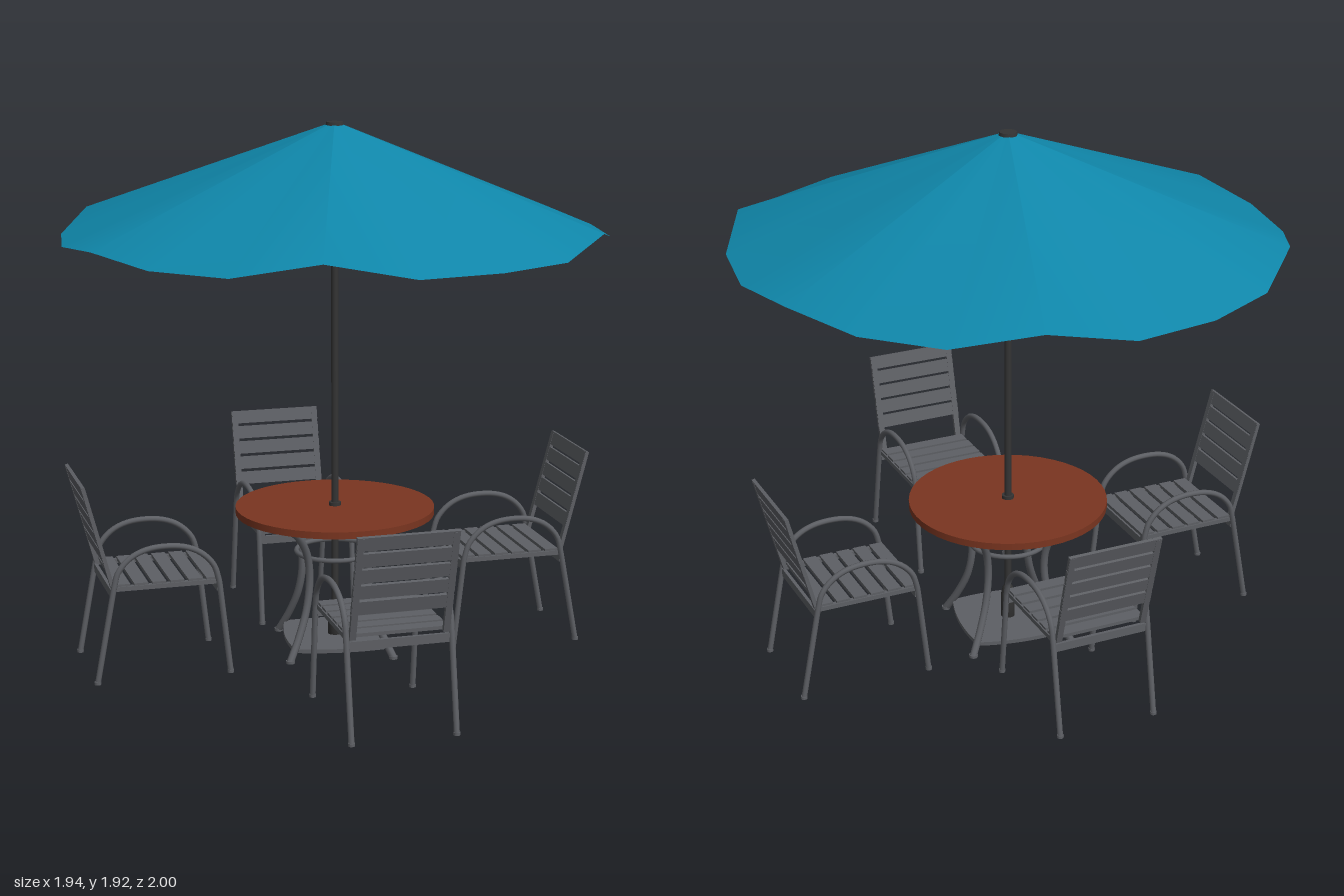
import * as THREE from 'three';

const V = (x, y, z) => new THREE.Vector3(x, y, z);
const CZ = -0.03; // table and parasol axis

const canopyMat = new THREE.MeshStandardMaterial({ color: 0x0f86a9, side: THREE.DoubleSide });
canopyMat.name = 'teal canvas';
const metalMat = new THREE.MeshStandardMaterial({ color: 0x5d5f64 });
metalMat.name = 'grey metal';
const poleMat = new THREE.MeshStandardMaterial({ color: 0x343434 });
poleMat.name = 'dark pole';
const woodMat = new THREE.MeshStandardMaterial({ color: 0x7a3520 });
woodMat.name = 'red brown top';

function add(parent, name, geometry, material, x = 0, y = 0, z = 0) {
  const mesh = new THREE.Mesh(geometry, material);
  mesh.name = name;
  mesh.position.set(x, y, z);
  parent.add(mesh);
  return mesh;
}

// Canopy: 20-sided cone with a gently waving rim
function canopyGeometry() {
  const n = 20, pos = [], index = [];
  const raised = { 3: 1.57, 6: 1.54, 9: 1.57, 13: 1.57, 16: 1.54, 19: 1.57 };
  for (let i = 0; i < n; i++) {
    const a = (i / n) * Math.PI * 2, s = Math.sin(a), c = Math.cos(a);
    pos.push(0.004 * s, 1.915, 0.004 * c, 0.97 * s, raised[i] ?? 1.515, 0.97 * c);
    const t = i * 2, u = ((i + 1) % n) * 2;
    index.push(t, t + 1, u + 1, t, u + 1, u);
  }
  const g = new THREE.BufferGeometry();
  g.setAttribute('position', new THREE.Float32BufferAttribute(pos, 3));
  g.setIndex(index);
  g.computeVertexNormals();
  return g;
}

function createParasol() {
  const g = new THREE.Group();
  g.name = 'parasol';
  add(g, 'canopy', canopyGeometry(), canopyMat);
  add(g, 'pole', new THREE.CylinderGeometry(0.013, 0.013, 1.86, 16), poleMat, 0, 0.975);
  add(g, 'finial', new THREE.CylinderGeometry(0.03, 0.033, 0.014, 16), poleMat, 0, 1.908);
  const stand = [[0, 0.04], [0.026, 0.04], [0.026, 0.13], [0.018, 0.165], [0.013, 0.17]];
  add(g, 'poleSocket', new THREE.LatheGeometry(stand.map(p => new THREE.Vector2(...p)), 20), poleMat);
  add(g, 'tableCollar', new THREE.CylinderGeometry(0.022, 0.022, 0.012, 16), poleMat, 0, 0.536);
  return g;
}

function createTable() {
  const g = new THREE.Group();
  g.name = 'table';
  add(g, 'tableTop', new THREE.CylinderGeometry(0.36, 0.36, 0.025, 48), woodMat, 0, 0.517);

  // Four inward-bowed legs, a ring and a base plate
  const base = new THREE.Group();
  base.name = 'tableBase';
  base.rotation.y = THREE.MathUtils.degToRad(37);
  g.add(base);
  const curve = new THREE.CatmullRomCurve3([
    V(0, 0.003, 0.265), V(0, 0.08, 0.215), V(0, 0.18, 0.168), V(0, 0.29, 0.15),
    V(0, 0.38, 0.165), V(0, 0.45, 0.21), V(0, 0.505, 0.285)]);
  const legGeo = new THREE.TubeGeometry(curve, 32, 0.014, 8);
  const footGeo = new THREE.CylinderGeometry(0.016, 0.016, 0.01, 12);
  for (let i = 0; i < 4; i++) {
    const leg = new THREE.Group();
    leg.name = 'tableLeg';
    leg.rotation.y = i * Math.PI / 2;
    add(leg, 'legTube', legGeo, metalMat);
    add(leg, 'legFoot', footGeo, metalMat, 0, 0.005, 0.264);
    base.add(leg);
  }
  add(base, 'braceRing', new THREE.TorusGeometry(0.14, 0.009, 8, 40).rotateX(Math.PI / 2), metalMat, 0, 0.36);

  const R = 0.235, k = 0.145, plate = new THREE.Shape().moveTo(R, 0);
  plate.quadraticCurveTo(k, k, 0, R).quadraticCurveTo(-k, k, -R, 0)
    .quadraticCurveTo(-k, -k, 0, -R).quadraticCurveTo(k, -k, R, 0);
  const plateGeo = new THREE.ExtrudeGeometry(plate, { depth: 0.014, bevelEnabled: false });
  add(base, 'basePlate', plateGeo.rotateX(-Math.PI / 2), metalMat, 0, 0.03);
  return g;
}

// Chair with its back towards +z
function createChair() {
  const g = new THREE.Group();
  g.name = 'chair';

  // Front leg, arm and rear leg are one bent tube on each side
  const frame = new THREE.CurvePath();
  const front = V(0, 0.34, 0.43), rear = V(0, 0.34, 0.805);
  frame.add(new THREE.LineCurve3(V(0, 0.003, 0.392), front));
  frame.add(new THREE.CatmullRomCurve3([front, V(0, 0.40, 0.449), V(0, 0.45, 0.497), V(0, 0.477, 0.565),
    V(0, 0.477, 0.675), V(0, 0.45, 0.742), V(0, 0.40, 0.788), rear]));
  frame.add(new THREE.LineCurve3(rear, V(0, 0.003, 0.868)));
  const frameGeo = new THREE.TubeGeometry(frame, 72, 0.0105, 8);
  const footGeo = new THREE.CylinderGeometry(0.012, 0.012, 0.01, 10);

  const backLow = V(0, 0.34, 0.805), backHigh = V(0, 0.705, 0.902);
  const tilt = Math.atan2(backHigh.z - backLow.z, backHigh.y - backLow.y);
  const mid = backLow.clone().lerp(backHigh, 0.5);
  const upright = new THREE.BoxGeometry(0.022, backLow.distanceTo(backHigh), 0.014);
  for (const s of [-1, 1]) {
    add(g, 'armAndLegs', frameGeo, metalMat, s * 0.18);
    add(g, 'frontFoot', footGeo, metalMat, s * 0.18, 0.005, 0.392);
    add(g, 'rearFoot', footGeo, metalMat, s * 0.18, 0.005, 0.868);
    add(g, 'backUpright', upright, metalMat, s * 0.16, mid.y, mid.z).rotation.x = tilt;
    add(g, 'seatRail', new THREE.BoxGeometry(0.018, 0.016, 0.38), metalMat, s * 0.168, 0.338, 0.615);
  }

  // Back slats
  const slat = new THREE.BoxGeometry(0.345, 0.049, 0.012);
  for (let i = 0; i < 5; i++) {
    const y = 0.455 + i * 0.0575;
    const p = backLow.clone().lerp(backHigh, (y - backLow.y) / (backHigh.y - backLow.y));
    add(g, 'backSlat', slat, metalMat, 0, p.y, p.z).rotation.x = tilt;
  }

  // Seat slats and cross bars
  for (let i = 0; i < 6; i++)
    add(g, 'seatSlat', new THREE.BoxGeometry(0.345, 0.012, 0.05), metalMat, 0, 0.348, 0.45 + i * 0.064);
  add(g, 'frontBar', new THREE.BoxGeometry(0.35, 0.03, 0.012), metalMat, 0, 0.318, 0.432);
  add(g, 'rearBar', new THREE.BoxGeometry(0.35, 0.03, 0.012), metalMat, 0, 0.318, 0.806);
  return g;
}

export function createModel() {
  const model = new THREE.Group();
  model.name = 'patioSet';
  for (const part of [createParasol(), createTable()]) {
    part.position.z = CZ;
    model.add(part);
  }
  // Four chairs around the table: name, turn, x, z
  const seats = [
    ['frontChair', 0, -0.045, 0.09], ['leftChair', 1, 0, -0.02],
    ['backChair', 2, -0.02, 0.065], ['rightChair', 3, -0.045, -0.02]];
  for (const [name, turn, x, z] of seats) {
    const chair = createChair();
    chair.name = name;
    chair.rotation.y = turn * Math.PI / 2;
    chair.position.set(x, 0, z);
    model.add(chair);
  }
  return model;
}
